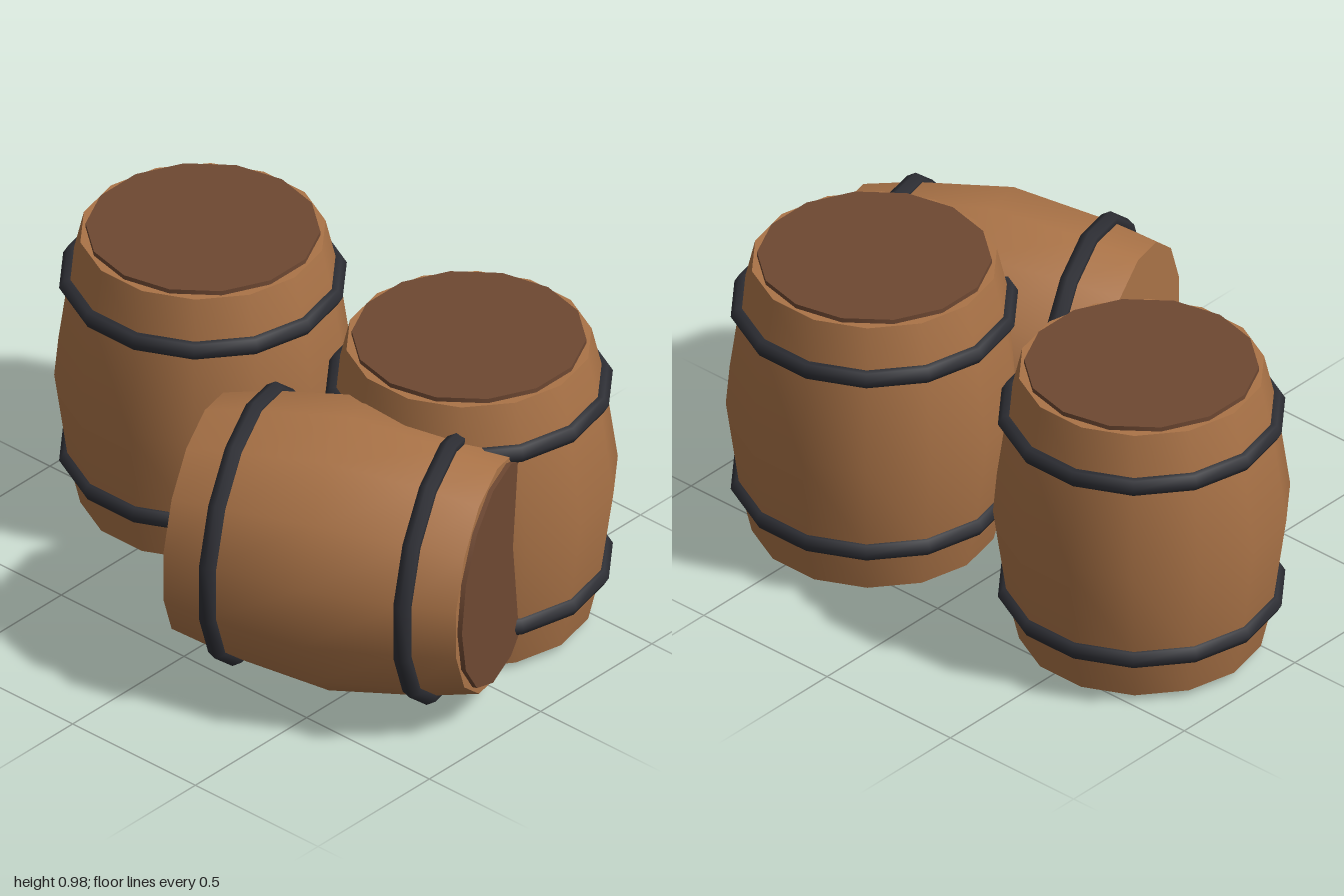
import * as THREE from 'three';
import { mergeGeometries } from 'three/addons/utils/BufferGeometryUtils.js';

const SIDES = 14;
const HALF = 0.47; // half the body height

const wood = new THREE.MeshStandardMaterial({ color: 0xaa7347 });
wood.name = 'wood';
const lidWood = new THREE.MeshStandardMaterial({ color: 0x6e4832 });
lidWood.name = 'dark lid wood';
const iron = new THREE.MeshStandardMaterial({ color: 0x2d2e34 });
iron.name = 'iron';

// Bulging staves with a flat disc closing each end
function bodyGeometry() {
  const profile = [[0.375, -HALF], [0.412, -0.31], [0.455, 0], [0.412, 0.31], [0.375, HALF]]
    .map(([r, y]) => new THREE.Vector2(r, y));
  const staves = new THREE.LatheGeometry(profile, SIDES, Math.PI / 2);
  const top = new THREE.CircleGeometry(0.375, SIDES).rotateX(-Math.PI / 2).translate(0, HALF, 0);
  const bottom = new THREE.CircleGeometry(0.375, SIDES).rotateX(Math.PI / 2).translate(0, -HALF, 0);
  return mergeGeometries([staves, top, bottom]);
}

const bodyGeo = bodyGeometry();
const hoopGeo = new THREE.TorusGeometry(0.41, 0.03, 6, SIDES).rotateX(Math.PI / 2);
const lidGeo = new THREE.CylinderGeometry(0.355, 0.355, 0.03, SIDES);

function addPart(group, name, geometry, material, y) {
  const mesh = new THREE.Mesh(geometry, material);
  mesh.name = name;
  mesh.position.y = y;
  group.add(mesh);
}

// One barrel, centred on its own middle, lid towards +y
function makeBarrel(name) {
  const barrel = new THREE.Group();
  barrel.name = name;
  addPart(barrel, 'body', bodyGeo, wood, 0);
  addPart(barrel, 'lid', lidGeo, lidWood, HALF);
  addPart(barrel, 'upperHoop', hoopGeo, iron, 0.312);
  addPart(barrel, 'lowerHoop', hoopGeo, iron, -0.312);
  return barrel;
}

export function createModel() {
  const model = new THREE.Group();
  model.name = 'barrels';

  const right = makeBarrel('rightStandingBarrel');
  right.position.set(-0.545, 0.495, -0.186);

  const left = makeBarrel('leftStandingBarrel');
  left.position.set(0.447, 0.495, -0.288);

  // Barrel on its side, lid turned to the left and slightly back
  const lying = makeBarrel('lyingBarrel');
  lying.position.set(0.42, 0.46, 0.212);
  lying.rotation.set(0, 0.388, -Math.PI / 2);

  model.add(right, left, lying);
  return model;
}
